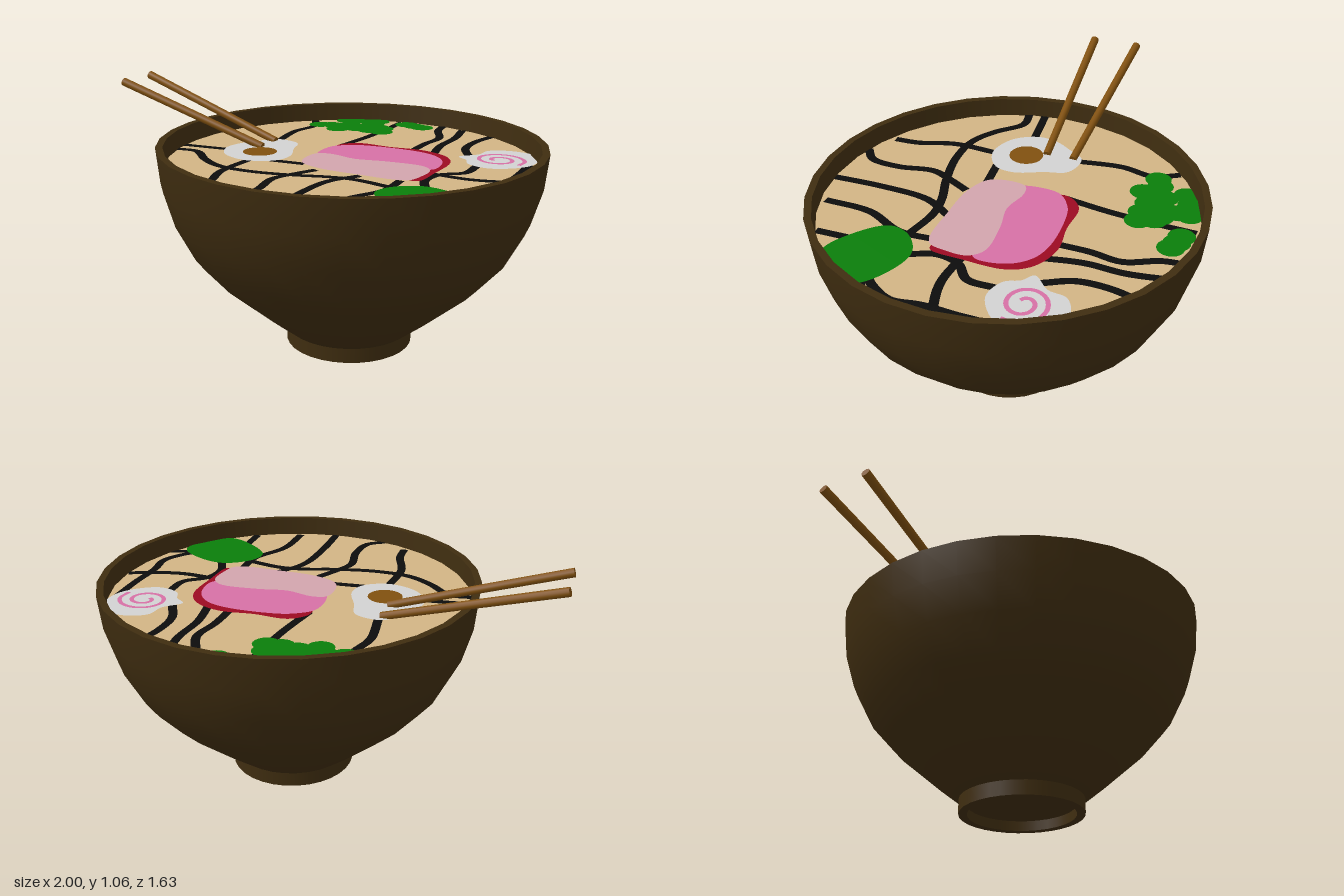
import * as THREE from 'three';

const mat = (name, color) => {
  const m = new THREE.MeshStandardMaterial({ color });
  m.name = name;
  return m;
};

export function createModel() {
  const M = {
    bowl: mat('dark brown', 0x3f2d10),
    wood: mat('wood brown', 0x80500f),
    broth: mat('broth tan', 0xd2b484),
    black: mat('noodle black', 0x0c0c0c),
    white: mat('egg white', 0xd2d2d2),
    green: mat('leaf green', 0x0a7e0a),
    pink: mat('meat pink', 0xd670a5),
    pale: mat('pale pink', 0xd2a4ad),
    red: mat('meat red', 0x9c0a22),
  };
  const CX = 0.185, SOUP = 0.81, SIDES = 32;
  const model = new THREE.Group();
  model.name = 'noodleBowl';

  const add = (parent, name, geometry, material) => {
    const mesh = new THREE.Mesh(geometry, material);
    mesh.name = name;
    parent.add(mesh);
    return mesh;
  };
  const group = (name) => {
    const g = new THREE.Group();
    g.name = name;
    model.add(g);
    return g;
  };

  // Bowl: separate turned sections keep the edges between them sharp
  const bowl = group('bowl');
  bowl.position.x = CX;
  const turn = (name, pts) => add(bowl, name,
    new THREE.LatheGeometry(pts.map(([r, y]) => new THREE.Vector2(r, y)), SIDES), M.bowl);
  turn('footRecess', [[0, 0.045], [0.238, 0.045]]);
  turn('footInnerWall', [[0.238, 0.045], [0.238, 0]]);
  turn('footRing', [[0.238, 0], [0.275, 0]]);
  turn('footOuterWall', [[0.275, 0], [0.275, 0.065]]);
  turn('bowlBody', [[0.275, 0.065], [0.38, 0.15], [0.575, 0.32], [0.68, 0.44],
    [0.757, 0.59], [0.8, 0.74], [0.815, 0.89]]);
  turn('bowlRim', [[0.815, 0.89], [0.785, 0.89]]);
  turn('bowlInnerWall', [[0.785, 0.89], [0.778, 0.8]]);

  // Broth surface
  const broth = add(model, 'broth',
    new THREE.CircleGeometry(0.785, SIDES).rotateX(-Math.PI / 2), M.broth);
  broth.position.set(CX, SOUP, 0);

  // Flat helpers working in (x, z), lifted by a layer number
  const height = (layer) => SOUP + layer * 0.002;
  const blob = (parent, name, pts, material, layer) => {
    const curve = new THREE.CatmullRomCurve3(
      pts.map(([x, z]) => new THREE.Vector3(x, -z, 0)), true, 'centripetal');
    const shape = new THREE.Shape(curve.getPoints(60).slice(0, -1).map((p) => new THREE.Vector2(p.x, p.y)));
    add(parent, name, new THREE.ShapeGeometry(shape).rotateX(-Math.PI / 2), material)
      .position.y = height(layer);
  };
  const disc = (parent, name, x, z, r, material, layer) =>
    add(parent, name, new THREE.CircleGeometry(r, 20).rotateX(-Math.PI / 2), material)
      .position.set(x, height(layer), z);
  const ribbon = (parent, name, pts, width, material, layer) => {
    const curve = new THREE.CatmullRomCurve3(pts.map(([x, z]) => new THREE.Vector3(x, 0, z)));
    const n = pts.length * 6, pos = [], nor = [], idx = [];
    for (let i = 0; i <= n; i++) {
      const p = curve.getPoint(i / n), t = curve.getTangent(i / n);
      for (const s of [1, -1]) {
        pos.push(p.x + t.z * s * width / 2, 0, p.z - t.x * s * width / 2);
        nor.push(0, 1, 0);
      }
      const a = i * 2;
      if (i < n) idx.push(a, a + 2, a + 1, a + 1, a + 2, a + 3);
    }
    const g = new THREE.BufferGeometry();
    g.setAttribute('position', new THREE.Float32BufferAttribute(pos, 3));
    g.setAttribute('normal', new THREE.Float32BufferAttribute(nor, 3));
    // The strip must face upward
    for (let i = 0; i < idx.length; i += 3) {
      const [a, b, c] = [idx[i], idx[i + 1], idx[i + 2]].map((k) => k * 3);
      const up = (pos[b + 2] - pos[a + 2]) * (pos[c] - pos[a]) - (pos[b] - pos[a]) * (pos[c + 2] - pos[a + 2]);
      if (up < 0) [idx[i + 1], idx[i + 2]] = [idx[i + 2], idx[i + 1]];
    }
    g.setIndex(idx);
    add(parent, name, g, material).position.y = height(layer);
  };

  // Noodle lines
  const noodles = group('noodles');
  [
    [[-0.29, -0.61], [-0.24, -0.5], [-0.27, -0.36], [-0.25, -0.16]],
    [[0.11, -0.76], [0.1, -0.6], [0.08, -0.4], [0.04, -0.18]],
    [[0.32, -0.765], [0.33, -0.67], [0.385, -0.53], [0.365, -0.4], [0.36, -0.26]],
    [[0.43, -0.73], [0.45, -0.56], [0.44, -0.4], [0.465, -0.23]],
    [[0.59, -0.66], [0.555, -0.53], [0.555, -0.4], [0.61, -0.28]],
    [[0.55, 0.05], [0.73, 0.065], [0.88, 0.03], [0.96, 0]],
    [[0.69, -0.14], [0.68, -0.02], [0.6, 0.05], [0.575, 0.15], [0.62, 0.27]],
    [[0.88, -0.25], [0.88, -0.08], [0.87, 0.08], [0.88, 0.2], [0.83, 0.29], [0.77, 0.35]],
    [[0.8, 0.35], [0.9, 0.32]],
    [[-0.59, 0.1], [-0.37, 0.08]],
    [[-0.58, 0.175], [-0.48, 0.17], [-0.37, 0.27], [-0.26, 0.335], [-0.1, 0.35],
      [0.08, 0.32], [0.22, 0.28], [0.33, 0.27], [0.51, 0.31]],
    [[-0.2, 0.2], [-0.21, 0.4], [-0.165, 0.56], [-0.16, 0.67]],
    [[0.125, 0.21], [0.075, 0.3], [0.03, 0.4], [0.05, 0.56], [0.03, 0.69], [-0.04, 0.745]],
    [[0.32, 0.21], [0.24, 0.34], [0.215, 0.56], [0.215, 0.775]],
    [[0.49, 0.2], [0.485, 0.35], [0.4, 0.52], [0.385, 0.73]],
    [[0.59, 0.48], [0.59, 0.66]],
    [[-0.11, 0.16], [0.04, 0.15]],
  ].forEach((pts, i) => ribbon(noodles, 'noodle' + (i + 1), pts, 0.037, M.black, 1));

  // Sliced meat with a red edge
  const meat = group('meatSlice');
  blob(meat, 'meatEdge', [[0.03, -0.16], [0.035, -0.22], [0.1, -0.275], [0.25, -0.27], [0.4, -0.28],
    [0.52, -0.23], [0.577, -0.14], [0.575, 0.05], [0.56, 0.18], [0.53, 0.19], [0.4, 0.1], [0.1, -0.05]], M.red, 2);
  blob(meat, 'meatTop', [[0.02, -0.16], [0.1, -0.225], [0.18, -0.245], [0.38, -0.245], [0.48, -0.21],
    [0.545, -0.13], [0.555, 0], [0.5, 0.03], [0.06, 0.03], [0.02, 0]], M.pink, 3);
  blob(meat, 'meatSide', [[0.02, -0.015], [0.08, -0.03], [0.2, 0], [0.33, -0.02], [0.5, -0.02], [0.55, 0.03],
    [0.55, 0.12], [0.52, 0.205], [0.3, 0.215], [0.13, 0.2], [0.03, 0.15], [0.005, 0.07]], M.pale, 4);

  // Halved egg
  const egg = group('egg');
  blob(egg, 'eggWhite', [[-0.27, -0.175], [-0.15, -0.15], [-0.115, -0.05], [-0.07, 0.07], [-0.09, 0.16],
    [-0.2, 0.215], [-0.33, 0.17], [-0.39, 0.07], [-0.38, -0.02], [-0.33, -0.1]], M.white, 2);
  disc(egg, 'yolk', -0.22, 0.065, 0.075, M.wood, 3);

  // Fish cake with a pink swirl
  const cake = group('fishCake');
  blob(cake, 'fishCakeSlice', [[0.575, -0.25], [0.64, -0.32], [0.66, -0.4], [0.75, -0.44], [0.87, -0.41],
    [0.9, -0.29], [0.87, -0.2], [0.75, -0.12], [0.65, -0.15], [0.62, -0.21]], M.white, 2);
  const swirl = [];
  for (let i = 0; i <= 16; i++) {
    const a = 2.2 + i * 0.68, r = 0.025 + i * 0.0056;
    swirl.push([0.745 + r * Math.cos(a), -0.265 + r * 0.92 * Math.sin(a)]);
  }
  ribbon(cake, 'fishCakeSwirl', swirl, 0.018, M.pink, 3);

  // Greens
  const greens = group('greens');
  blob(greens, 'leaf', [[0.6, 0.24], [0.73, 0.27], [0.84, 0.36], [0.82, 0.48], [0.7, 0.575],
    [0.56, 0.51], [0.465, 0.4], [0.49, 0.31]], M.green, 2);
  [
    [-0.14, -0.67], [-0.07, -0.7], [0.005, -0.71], [0, -0.66], [-0.09, -0.59], [-0.02, -0.59], [0.05, -0.6],
    [-0.17, -0.55], [-0.22, -0.53], [-0.11, -0.49], [-0.03, -0.53], [0.04, -0.52], [0.1, -0.52], [0.08, -0.58],
    [0.155, -0.71], [0.2, -0.7], [0.24, -0.685],
  ].forEach(([x, z], i) => disc(greens, 'scallion' + (i + 1), x, z, 0.056, M.green, 2 + (i % 3) * 0.3));

  // Chopsticks resting over the rim
  const sticks = group('chopsticks');
  [[-0.015, -0.018], [-0.222, -0.138]].forEach(([zOut, zIn], i) => {
    const a = new THREE.Vector3(-0.255, 0.815, zIn), b = new THREE.Vector3(-0.994, 1.044, zOut);
    const dir = b.clone().sub(a);
    const stick = add(sticks, 'chopstick' + (i + 1),
      new THREE.CylinderGeometry(0.019, 0.017, dir.length(), 12), M.wood);
    stick.position.copy(a).add(b).multiplyScalar(0.5);
    stick.quaternion.setFromUnitVectors(new THREE.Vector3(0, 1, 0), dir.normalize());
  });

  return model;
}
